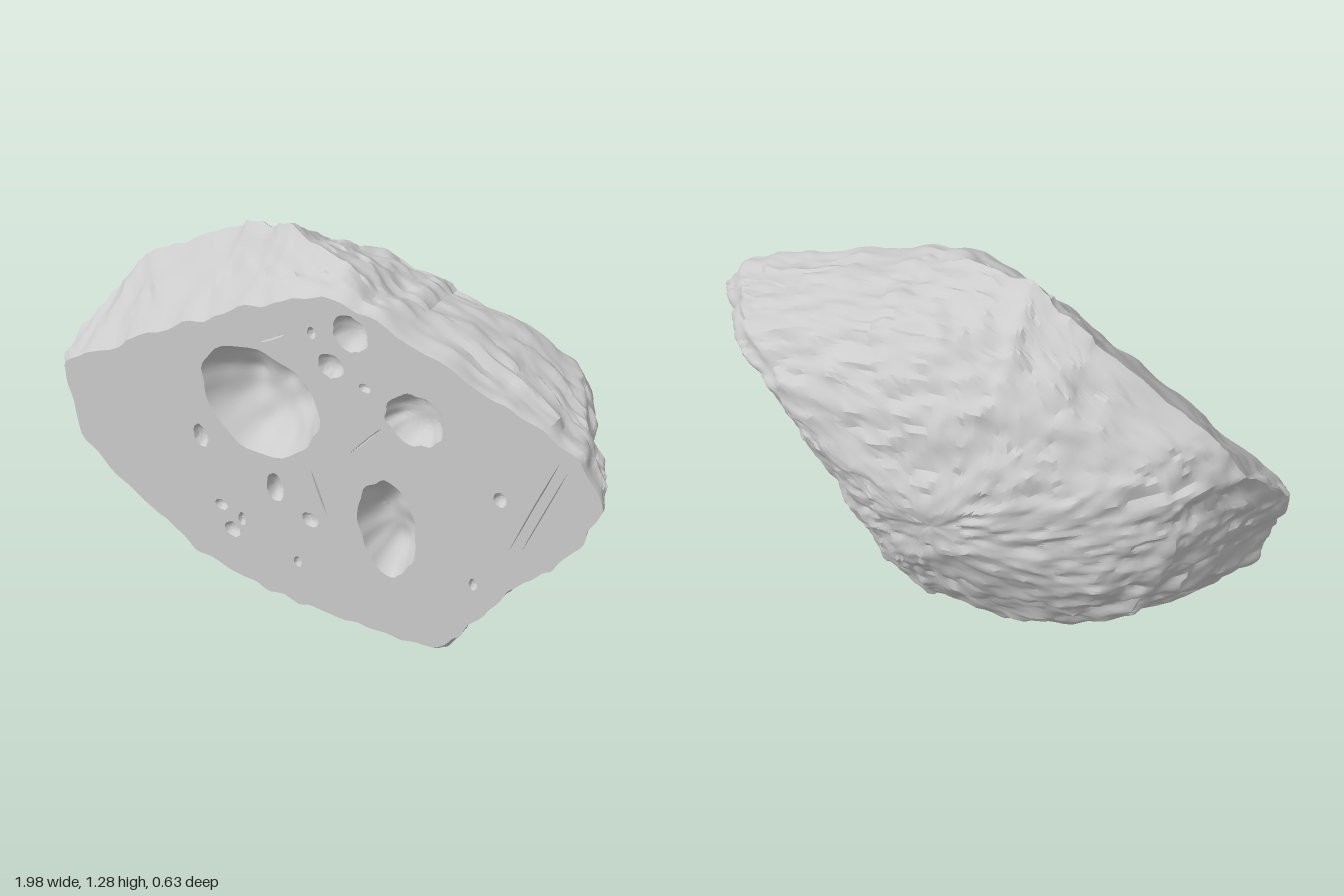
import * as THREE from 'three';
import { toCreasedNormals } from 'three/addons/utils/BufferGeometryUtils.js';

const FRONT = 0.315;
const mat = new THREE.MeshStandardMaterial({ color: 0xcccccc, roughness: 0.9 });

// Seeded value noise in the range -1..1
function hash(x, y, z) {
  const s = Math.sin(x * 127.1 + y * 311.7 + z * 74.7) * 43758.5453;
  return (s - Math.floor(s)) * 2 - 1;
}
function noise(x, y, z) {
  const ix = Math.floor(x), iy = Math.floor(y), iz = Math.floor(z);
  const ease = (t) => t * t * (3 - 2 * t);
  const u = ease(x - ix), v = ease(y - iy), w = ease(z - iz);
  const lerp = THREE.MathUtils.lerp;
  const edge = (b, c) => lerp(hash(ix, iy + b, iz + c), hash(ix + 1, iy + b, iz + c), u);
  return lerp(lerp(edge(0, 0), edge(1, 0), v), lerp(edge(0, 1), edge(1, 1), v), w);
}

// Closed loops of points joined row by row
function loft(rows, cols, pointAt, crease) {
  const pos = [], index = [];
  for (let j = 0; j <= rows; j++)
    for (let i = 0; i < cols; i++) pos.push(...pointAt(j, i));
  for (let j = 0; j < rows; j++)
    for (let i = 0; i < cols; i++) {
      const k = (i + 1) % cols;
      const a = j * cols + i, b = j * cols + k, c = a + cols, d = b + cols;
      index.push(a, b, c, b, d, c);
    }
  const geo = new THREE.BufferGeometry();
  geo.setAttribute('position', new THREE.Float32BufferAttribute(pos, 3));
  geo.setIndex(index);
  geo.computeVertexNormals();
  return toCreasedNormals(geo, crease);
}

function addMesh(group, geo, name) {
  const mesh = new THREE.Mesh(geo, mat);
  mesh.name = name;
  group.add(mesh);
}

// Matching outlines, clockwise from the left tip:
// the cut face (x, y), the widest girth (x, y, z), and the shoulder of the back (x, y)
const FACE = [
  [-0.96, 0.62], [-0.9, 0.67], [-0.7, 0.79], [-0.4, 0.97], [-0.15, 1.11], [0.05, 1.19],
  [0.2, 1.175], [0.6, 1.055], [0.88, 0.955], [0.99, 0.81], [0.93, 0.69], [0.84, 0.55],
  [0.7, 0.4], [0.56, 0.2], [0.45, 0.085], [0.2, 0.06], [0, 0.05], [-0.22, 0.06],
  [-0.45, 0.1], [-0.75, 0.26], [-0.89, 0.36], [-0.93, 0.5],
];
const GIRTH = [
  [-1, 0.65, 0.25], [-0.9, 0.82, 0.06], [-0.79, 0.97, 0.03], [-0.42, 1.17, 0.04],
  [-0.18, 1.265, 0.12], [0.03, 1.245, 0.18], [0.2, 1.185, 0.2], [0.6, 1.065, 0.18],
  [0.89, 0.95, 0.24], [0.97, 0.85, 0.27], [0.91, 0.7, 0.28], [0.82, 0.56, 0.28],
  [0.69, 0.41, 0.28], [0.56, 0.2, 0.28], [0.46, 0.08, 0.28], [0.2, 0.03, 0.22],
  [-0.02, 0, 0.2], [-0.22, 0.01, 0.2], [-0.45, 0.07, 0.15], [-0.72, 0.23, 0.15],
  [-0.9, 0.35, 0.25], [-0.95, 0.5, 0.27],
];
const SHOULDER = [
  [-0.76, 0.64], [-0.74, 0.76], [-0.65, 0.87], [-0.4, 1.03], [-0.2, 1.13], [0, 1.15],
  [0.2, 1.12], [0.46, 1.05], [0.66, 0.97], [0.69, 0.91], [0.6, 0.78], [0.49, 0.64],
  [0.38, 0.49], [0.3, 0.36], [0.23, 0.25], [0.12, 0.18], [-0.02, 0.155], [-0.2, 0.155],
  [-0.4, 0.19], [-0.58, 0.28], [-0.69, 0.39], [-0.74, 0.52],
];
// Crown behind the shoulder: scale, z
const CROWN = [[1, -0.1], [0.88, -0.15], [0.72, -0.2], [0.5, -0.25], [0.25, -0.29], [0, -0.31]];

// Pits: x, y, half width, half height, turn, depth
const PITS = [
  [-0.18, 0.75, 0.215, 0.185, 0, 0.14], [0.28, 0.465, 0.105, 0.165, 0.08, 0.09],
  [0.37, 0.885, 0.1, 0.085, 0.3, 0.06], [0.15, 1.1, 0.062, 0.058, 0, 0.04],
  [0.08, 0.97, 0.045, 0.04, 0, 0.03], [-0.41, 0.55, 0.028, 0.04, 0.2, 0.025],
  [-0.13, 0.46, 0.032, 0.05, 0.1, 0.03], [0, 0.39, 0.03, 0.025, 0, 0.02],
  [-0.34, 0.315, 0.024, 0.02, 0, 0.02], [-0.3, 0.235, 0.03, 0.028, 0, 0.02],
  [-0.262, 0.29, 0.014, 0.024, 0, 0.015], [-0.05, 0.21, 0.015, 0.02, 0, 0.015],
  [0.015, 1.06, 0.015, 0.02, 0, 0.015], [0.2, 0.935, 0.02, 0.015, 0, 0.015],
  [0.66, 0.72, 0.022, 0.024, 0, 0.02], [0.58, 0.385, 0.014, 0.02, 0, 0.015],
];
// Scratches: narrow shallow pits
const SCRATCHES = [
  [-0.125, 0.995, 0.05, 0.003, 0.55, 0.01], [0.2, 0.75, 0.085, 0.003, 0.86, 0.01],
  [0.035, 0.5, 0.08, 0.004, -1.2, 0.012], [0.77, 0.735, 0.19, 0.003, 1.18, 0.008],
  [0.805, 0.735, 0.17, 0.002, 1.18, 0.008],
];

function pitRim([x, y, rx, ry, turn], seed) {
  const rim = [], n = rx > 0.09 ? 48 : 24;
  for (let i = 0; i < n; i++) {
    const a = (i / n) * Math.PI * 2;
    const wobble = 1 + 0.08 * noise(Math.cos(a) * 3 + seed * 7, Math.sin(a) * 3, seed);
    const px = Math.cos(a) * rx * wobble, py = Math.sin(a) * ry * wobble;
    rim.push(new THREE.Vector2(
      x + px * Math.cos(turn) - py * Math.sin(turn),
      y + px * Math.sin(turn) + py * Math.cos(turn)));
  }
  return rim;
}

export function createModel() {
  const rock = new THREE.Group();
  rock.name = 'crateredRock';

  // Sample the outlines with a little raggedness
  const cols = 240;
  const sample = (points, level) => {
    const curve = new THREE.CatmullRomCurve3(
      points.map(([x, y, z = level]) => new THREE.Vector3(x, y, z)), true, 'catmullrom', 0.15);
    return Array.from({ length: cols }, (_, i) => {
      const p = curve.getPoint(i / cols);
      const { x, y } = p;
      p.x += 0.012 * noise(x * 18, y * 18, 3);
      p.y += 0.012 * noise(x * 18, y * 18, 8);
      return p;
    });
  };
  const edge = sample(FACE, FRONT), girth = sample(GIRTH), shoulder = sample(SHOULDER, -0.1);

  // Rough back: rim to girth, girth to shoulder, shoulder to crown
  const rimRows = 10, sideRows = 22, crownRows = 30;
  const crown = new THREE.CatmullRomCurve3(CROWN.map(([s, z]) => new THREE.Vector3(s, 0, z)));
  const centre = new THREE.Vector3(-0.05, 0.6, 0.15);
  const back = loft(rimRows + sideRows + crownRows, cols, (j, i) => {
    const p = new THREE.Vector3();
    if (j <= rimRows) {
      p.lerpVectors(edge[i], girth[i], j / rimRows);
    } else if (j <= rimRows + sideRows) {
      p.lerpVectors(girth[i], shoulder[i], (j - rimRows) / sideRows);
    } else {
      const q = crown.getPoint((j - rimRows - sideRows) / crownRows);
      p.lerpVectors(centre, shoulder[i], q.x);
      p.z = q.z;
    }
    // Layered ridges, running along x and fading out at the cut
    const layer = p.y + 0.25 * p.x;
    const bump = 0.012 * noise(p.x * 4, layer * 9, p.z * 9)
      + 0.013 * noise(p.x * 9, layer * 22, p.z * 22)
      + 0.008 * noise(p.x * 24, layer * 48, p.z * 48);
    const out = p.clone().sub(centre).multiply(new THREE.Vector3(1, 1.4, 2.2)).normalize();
    p.addScaledVector(out, bump * Math.min(1, j / 5));
    p.z = Math.min(p.z, FRONT);
    return p.toArray();
  }, 0.5);
  addMesh(rock, back, 'roughBack');

  // Flat cut face, opened where the pits sink in
  const face = new THREE.Shape(edge.map((p) => new THREE.Vector2(p.x, p.y)));
  const hollows = [...PITS, ...SCRATCHES];
  const rims = hollows.map(pitRim);
  rims.forEach((rim) => face.holes.push(new THREE.Path(rim)));
  addMesh(rock, new THREE.ShapeGeometry(face).translate(0, 0, FRONT), 'cutFace');

  // Bowls of the pits and scratches
  hollows.forEach(([x, y, rx, , , depth], k) => {
    const rim = rims[k], steps = rx > 0.09 ? 12 : 6;
    const bowl = loft(steps, rim.length, (j, i) => {
      const s = 1 - j / steps;
      const px = x + (rim[i].x - x) * s, py = y + (rim[i].y - y) * s;
      const rough = 1 + 0.15 * noise(px * 18, py * 18, k);
      return [px, py, FRONT - depth * (1 - s ** 3) * rough];
    }, 0.8);
    addMesh(rock, bowl, k < PITS.length ? 'pit' : 'scratch');
  });

  // Stand on the ground, centred
  const box = new THREE.Box3().setFromObject(rock);
  const mid = box.getCenter(new THREE.Vector3());
  rock.position.set(-mid.x, -box.min.y, -mid.z);
  return rock;
}
